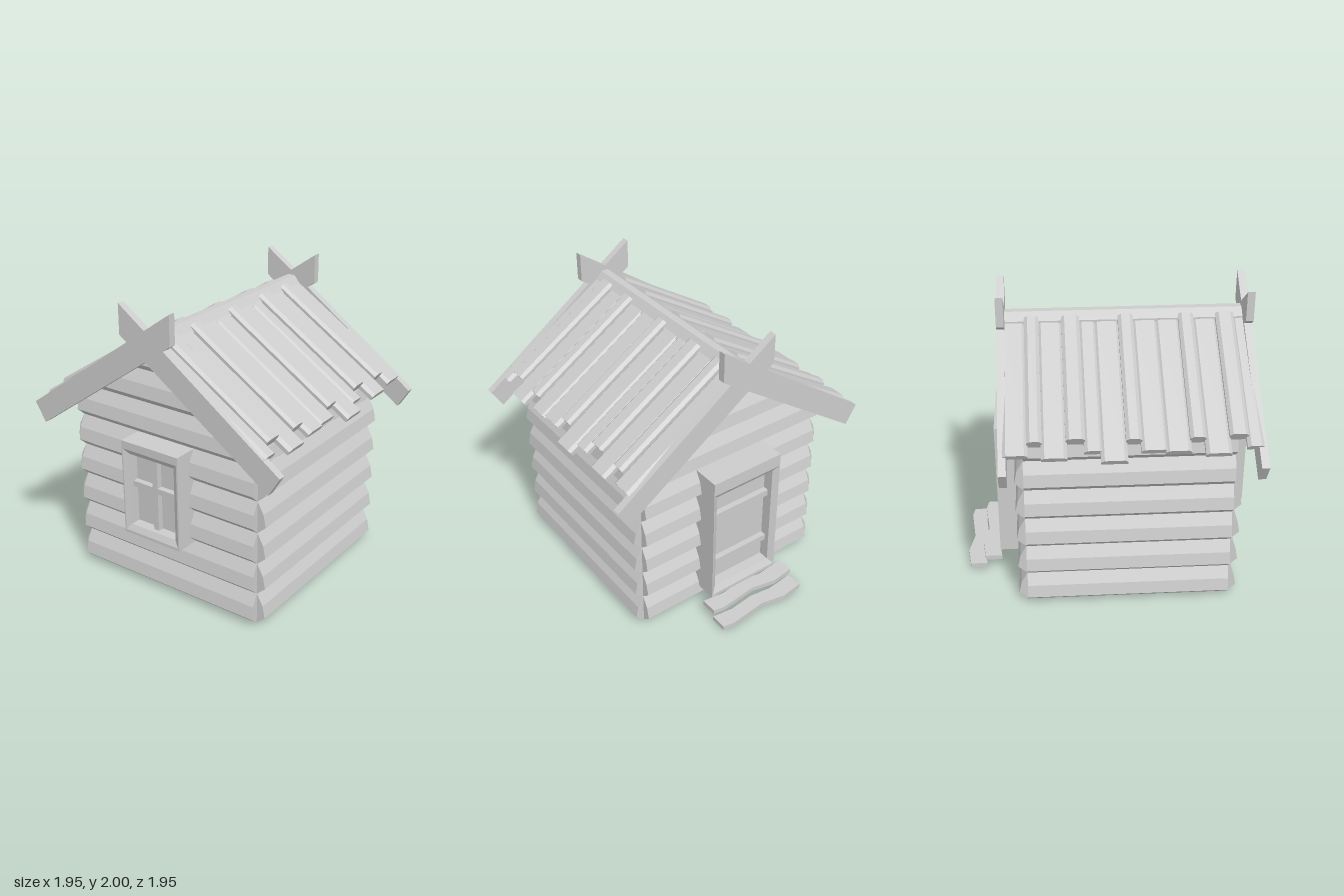
import * as THREE from 'three';

const material = new THREE.MeshStandardMaterial({ color: 0xcccccc, flatShading: true, side: THREE.DoubleSide });
const LOG = 0.2195, SLOPE = 0.64, PITCH = Math.atan(SLOPE);

function add(parent, geometry, name, x = 0, y = 0, z = 0) {
  const mesh = new THREE.Mesh(geometry, material);
  mesh.name = name;
  mesh.position.set(x, y, z);
  parent.add(mesh);
  return mesh;
}

function group(parent, name, x = 0, y = 0, z = 0, turn = 0) {
  const g = new THREE.Group();
  g.name = name;
  g.position.set(x, y, z);
  g.rotation.y = turn;
  parent.add(g);
  return g;
}

function fromTriangles(points) {
  const g = new THREE.BufferGeometry();
  g.setAttribute('position', new THREE.Float32BufferAttribute(points.flat(), 3));
  g.computeVertexNormals();
  return g;
}

function extrude(points, depth) {
  const shape = new THREE.Shape(points.map(p => new THREE.Vector2(p[0], p[1])));
  return new THREE.ExtrudeGeometry(shape, { depth, bevelEnabled: false });
}

// Profile in the z/y plane, extruded along x from x0 to x1
function extrudeAlongX(points, x0, x1) {
  const g = extrude(points.map(([z, y]) => [-z, y]), x1 - x0);
  g.rotateY(Math.PI / 2);
  return g.translate(x0, 0, 0);
}

// Half-round log: faceted outer skin with a cap at each end
function logGeometry(y0, halfLength) {
  const profile = [[0, 0], [0.06, 0.055], [0.043, 0.14], [0, LOG]];
  const ends = [-1, 1].map(s => profile.map(([d, y]) => [s * halfLength(y0 + y), y0 + y, d]));
  const [l, r] = ends;
  const tris = [];
  for (let i = 0; i < 3; i++) tris.push(l[i], r[i], r[i + 1], l[i], r[i + 1], l[i + 1]);
  for (let i = 1; i < 3; i++) tris.push(l[0], l[i], l[i + 1], r[0], r[i + 1], r[i]);
  return fromTriangles(tris);
}

// Rectangular loft; each ring is [halfWidth, bottom, top, depth]
function loftRects(rings) {
  const corners = rings.map(([w, b, t, d]) => [[-w, b, d], [w, b, d], [w, t, d], [-w, t, d]]);
  const tris = [];
  for (let i = 0; i + 1 < corners.length; i++) {
    for (let k = 0; k < 4; k++) {
      const n = (k + 1) % 4, a = corners[i], b = corners[i + 1];
      tris.push(a[k], a[n], b[n], a[k], b[n], b[k]);
    }
  }
  const e = corners.at(-1); // recessed panel
  tris.push(e[0], e[1], e[2], e[0], e[2], e[3]);
  return fromTriangles(tris);
}

export function createModel() {
  const root = new THREE.Group();
  root.name = 'logCabin';

  // Log walls; the two gable walls carry on up under the roof
  const cx = -0.1325, cz = 0.0175, hx = 0.6775, hz = 0.7025;
  const walls = [
    ['frontWall', cx, cz + hz, 0, 6, () => hx],
    ['backWall', cx, cz - hz, Math.PI, 6, () => hx],
  ];
  const gable = y => Math.min(hz, Math.max(0.01, (1.765 - y) / SLOPE - cz));
  walls.push(['rightGableWall', cx + hx, cz, Math.PI / 2, 8, gable]);
  walls.push(['leftGableWall', cx - hx, cz, -Math.PI / 2, 8, gable]);
  for (const [name, x, z, turn, count, half] of walls) {
    const wall = group(root, name, x, 0, z, turn);
    for (let i = 0; i < count; i++) add(wall, logGeometry(i * LOG, half), 'log');
  }

  // Roof planks [x0, x1, eave distance, batten?], the same on both slopes
  const planks = [
    [-0.94, -0.85, 0.87, 0], [-0.855, -0.735, 0.81, 1], [-0.735, -0.59, 0.905, 0],
    [-0.59, -0.49, 0.82, 1], [-0.49, -0.345, 0.885, 0], [-0.345, -0.195, 0.875, 0],
    [-0.195, -0.095, 0.82, 1], [-0.095, 0.055, 0.93, 0], [0.055, 0.155, 0.87, 0],
    [0.155, 0.275, 0.81, 1], [0.275, 0.42, 0.905, 0], [0.42, 0.515, 0.82, 1],
    [0.515, 0.655, 0.885, 0],
  ];
  for (const s of [1, -1]) {
    const side = group(root, s > 0 ? 'frontRoof' : 'backRoof', 0, 1.825, 0, s > 0 ? 0 : Math.PI);
    const tilted = group(side, 'roofSlope');
    tilted.rotation.x = PITCH;
    for (const [x0, x1, reach, batten] of planks) {
      const w = (x1 - x0) / 2 + (batten ? 0 : 0.008), top = batten ? 0.028 : 0;
      const profile = [[-w, -0.045], [w, -0.045], [w, top - 0.018], [w - 0.022, top], [-w + 0.022, top], [-w, top - 0.018]];
      const start = 0.05 / Math.cos(PITCH), length = reach / Math.cos(PITCH) - start;
      add(tilted, extrude(profile, length), batten ? 'roofBatten' : 'roofPlank', s * (x0 + x1) / 2, 0, start);
    }
  }

  // Ridge beam
  const ridge = [[-0.08, 1.745], [-0.08, 1.785], [-0.02, 1.83], [0.03, 1.83], [0.085, 1.765], [0.085, 1.745]];
  add(root, extrudeAlongX(ridge, -0.915, 0.64), 'ridgeBeam');

  // Crossed barge boards at both gables
  const half = [[0, 1.862], [0.195, 2], [0.195, 1.8], [0.141, 1.762], [0.975, 1.17], [0.895, 1.04]];
  const cross = [...half, [0, 1.664], ...half.slice(1).reverse().map(([z, y]) => [-z, y])];
  add(root, extrudeAlongX(cross, 0.64, 0.69), 'rightBargeBoards');
  add(root, extrudeAlongX(cross, -0.965, -0.915), 'leftBargeBoards');

  // Door: box frame with a bevelled opening, recessed panel and two rails
  const door = group(root, 'door', 0.5, 0, 0.0125, Math.PI / 2);
  add(door, loftRects([
    [0.2725, 0.105, 1.095, 0], [0.2725, 0.105, 1.095, 0.24], [0.268, 0.13, 1.0, 0.24],
    [0.232, 0.175, 0.96, 0.215], [0.232, 0.175, 0.96, 0.14],
  ]), 'doorFrame');
  for (const y of [0.752, 0.352]) add(door, new THREE.BoxGeometry(0.464, 0.045, 0.04), 'doorRail', 0, y, 0.16);

  // Window: box frame with crossed glazing bars
  const win = group(root, 'window', -0.76, 0, 0.01, -Math.PI / 2);
  add(win, loftRects([
    [0.225, 0.435, 1.095, 0], [0.225, 0.435, 1.095, 0.215], [0.215, 0.455, 1.04, 0.215],
    [0.18, 0.495, 1.005, 0.195], [0.18, 0.495, 1.005, 0.125],
  ]), 'windowFrame');
  add(win, new THREE.BoxGeometry(0.04, 0.51, 0.04), 'windowMullion', 0, 0.75, 0.145);
  add(win, new THREE.BoxGeometry(0.36, 0.04, 0.04), 'windowBar', 0, 0.78, 0.145);

  // Two wavy door steps
  const outline = [
    [0, -0.33], [0.115, -0.33], [0.135, -0.17], [0.1, 0.0], [0.13, 0.27], [0.115, 0.35],
    [0, 0.35], [0.02, 0.2], [0, 0.02], [0.02, -0.13],
  ];
  for (const [name, x, y] of [['upperStep', 0.728, 0.105], ['lowerStep', 0.835, 0.043]]) {
    const g = extrude(outline, 0.033);
    g.rotateX(Math.PI / 2);
    add(root, g, name, x, y, 0);
  }
  return root;
}
